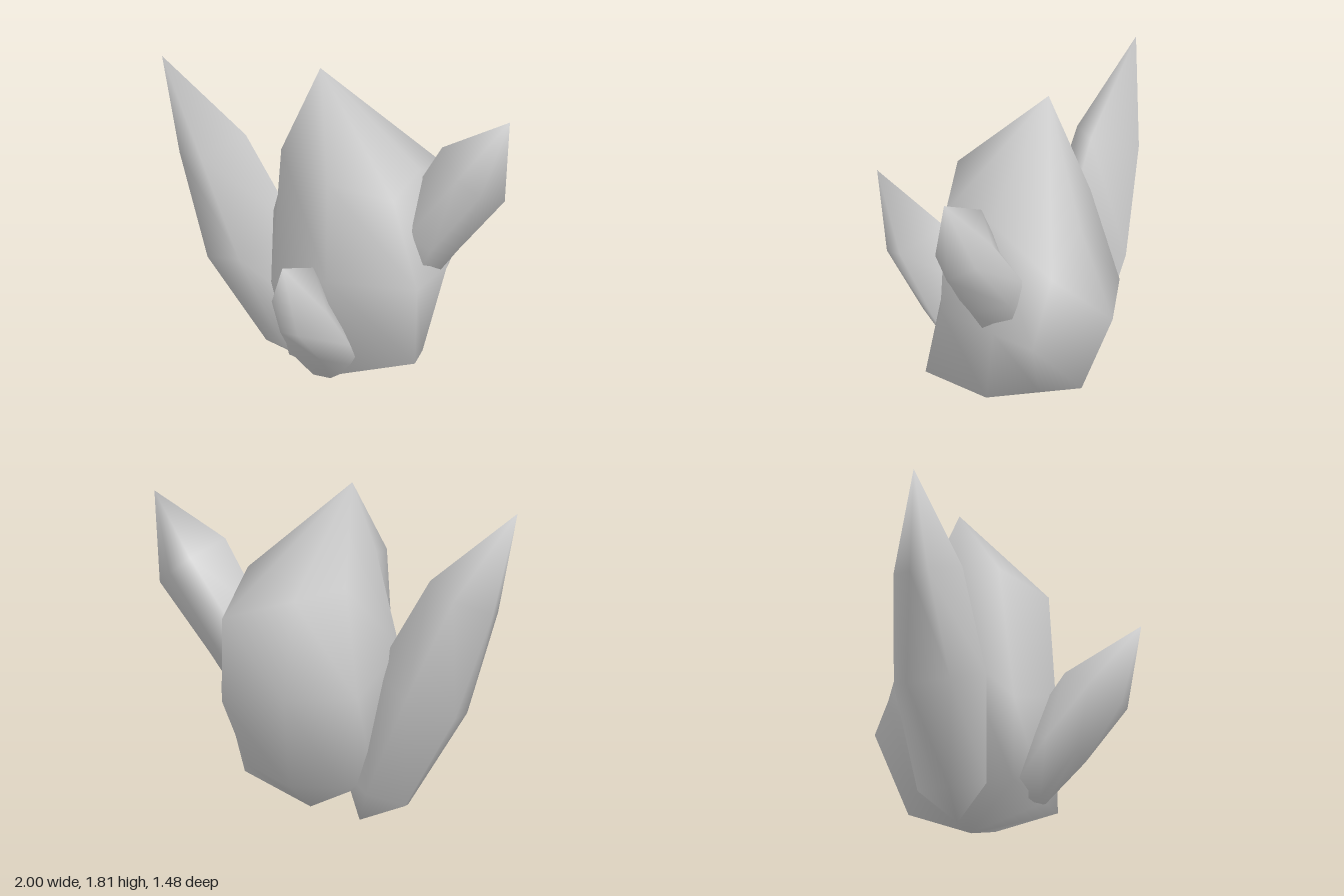
import * as THREE from 'three';

const stone = new THREE.MeshStandardMaterial({ color: 0xcccccc });
stone.name = 'greyCrystal';

// A crystal is a base point, rings of corners from low to high, and a tip.
function crystal(name, base, rings, tip) {
  const sides = rings[0].length;
  const points = [base, ...rings.flat(), tip];
  const at = (i, j) => 1 + i * sides + (j % sides);
  const top = points.length - 1;
  const last = rings.length - 1;
  const index = [];
  for (let j = 0; j < sides; j++) {
    index.push(0, at(0, j), at(0, j + 1));
    for (let i = 0; i < last; i++) {
      index.push(at(i, j), at(i + 1, j), at(i + 1, j + 1));
      index.push(at(i, j), at(i + 1, j + 1), at(i, j + 1));
    }
    index.push(at(last, j), top, at(last, j + 1));
  }

  const geometry = new THREE.BufferGeometry();
  geometry.setAttribute('position', new THREE.Float32BufferAttribute(points.flat(), 3));
  geometry.setIndex(index);
  geometry.computeVertexNormals();
  const mesh = new THREE.Mesh(geometry, stone);
  mesh.name = name;
  return mesh;
}

// Mirrors half a ring, given as [outward, height, half width], into a whole one.
function mirrored(half, place) {
  const other = half.filter((p) => p[2] > 0).reverse().map(([a, y, w]) => [a, y, -w]);
  return [...half, ...other].map((p) => place(...p));
}

export function createModel() {
  const group = new THREE.Group();
  group.name = 'crystalCluster';

  // Large central crystal, irregular
  group.add(crystal('mainCrystal', [0.14, 0.06, -0.21], [
    [[0.51, 0.23, -0.18], [0.6, 0.34, 0.14], [0.16, 0.2, 0.19], [-0.14, 0.21, 0.1],
      [-0.2, 0.2, -0.18], [-0.1, 0.2, -0.44], [0.16, 0.22, -0.56], [0.42, 0.31, -0.45]],
    [[0.61, 0.72, -0.28], [0.58, 0.74, 0.06], [0.14, 0.8, 0.255], [-0.23, 0.65, 0.13],
      [-0.33, 0.92, -0.14], [-0.22, 0.7, -0.57], [0.14, 0.7, -0.74], [0.55, 0.65, -0.49]],
    [[0.49, 1.33, -0.19], [0.46, 1.28, 0.1], [0.13, 1.38, 0.22], [-0.21, 1.42, 0.04],
      [-0.22, 1.43, -0.19], [-0.12, 1.28, -0.45], [0.14, 1.21, -0.54], [0.52, 1.11, -0.59]],
  ], [-0.09, 1.81, -0.21]));

  // Tall crystal leaning to -x
  const tall = (a, y, w) => [a, y, -0.215 + w];
  group.add(crystal('tallSideCrystal', [-0.13, 0, -0.21], [
    mirrored([[-0.05, 0.25, 0], [-0.22, 0.17, 0.19], [-0.39, 0.09, 0.03]], tall),
    mirrored([[-0.22, 0.8, 0], [-0.455, 0.69, 0.255], [-0.69, 0.58, 0.12]], tall),
    mirrored([[-0.52, 1.3, 0], [-0.7, 1.22, 0.19], [-0.88, 1.14, 0.05]], tall),
  ], [-1, 1.68, -0.21]));

  // High crystal leaning to +x
  const high = (a, y, w) => [a, y, -0.21 - w];
  group.add(crystal('highSideCrystal', [0.3, 0.55, -0.21], [
    mirrored([[0.28, 0.78, 0], [0.38, 0.72, 0.15], [0.48, 0.66, 0.13], [0.54, 0.64, 0]], high),
    mirrored([[0.38, 1.06, 0], [0.5, 1.02, 0.2], [0.62, 0.94, 0.18], [0.7, 0.87, 0]], high),
    mirrored([[0.61, 1.48, 0], [0.76, 1.39, 0.155], [0.88, 1.3, 0.125], [0.97, 1.23, 0]], high),
  ], [1, 1.72, -0.21]));

  // Small crystal leaning forward
  const front = (a, y, w) => [0.09 + w, y, a];
  group.add(crystal('frontCrystal', [0.09, 0.2, 0.06], [
    mirrored([[0, 0.32, 0], [0.12, 0.24, 0.18], [0.2, 0.18, 0.05]], front),
    mirrored([[0.1, 0.6, 0], [0.27, 0.45, 0.195], [0.41, 0.41, 0.08]], front),
    mirrored([[0.32, 0.91, 0], [0.505, 0.765, 0.16], [0.65, 0.68, 0.05]], front),
  ], [0.09, 1.13, 0.74]));

  return group;
}
